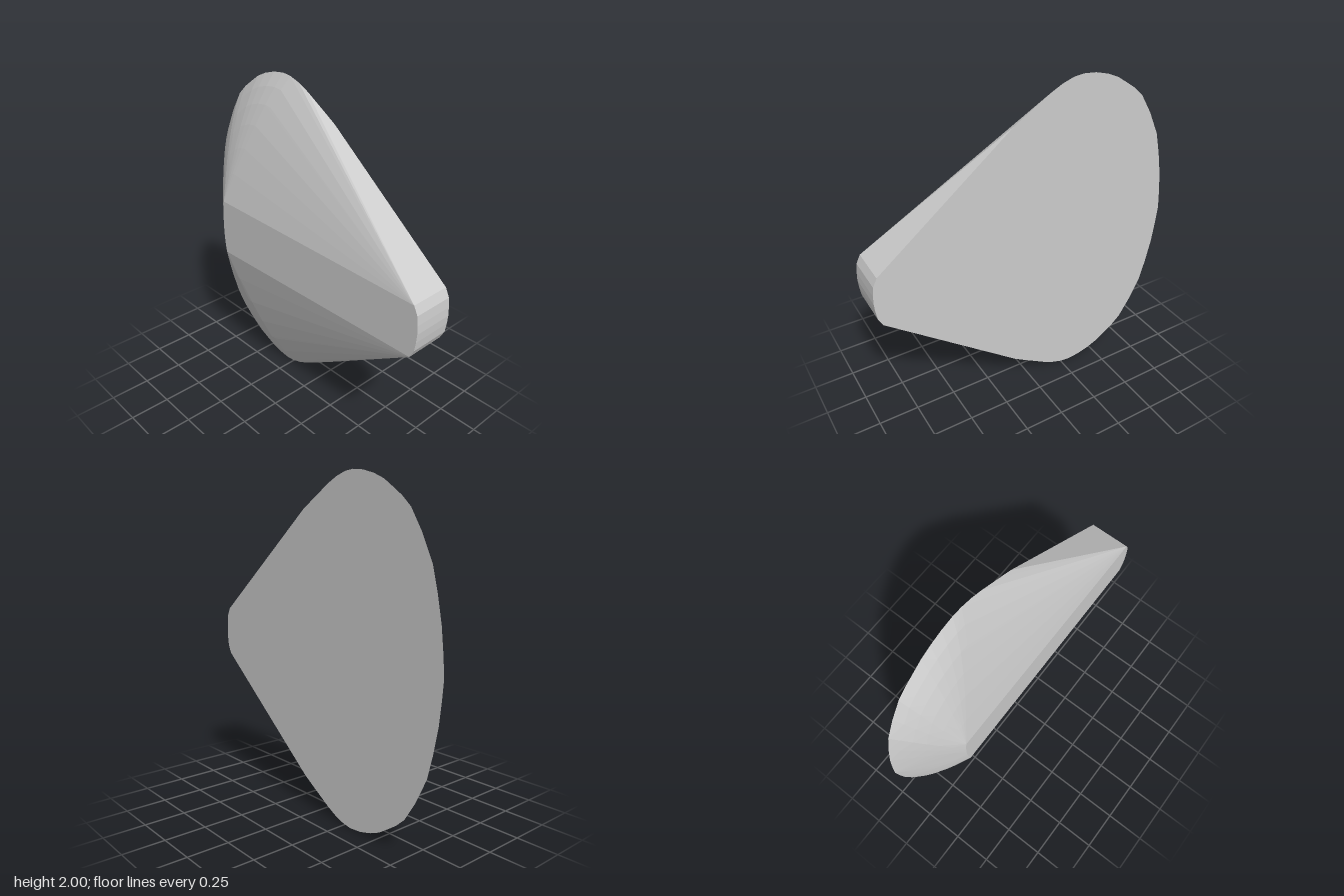
import * as THREE from 'three';
import { ConvexGeometry } from 'three/addons/geometries/ConvexGeometry.js';

const HALF_WIDTH = 0.124;
const BACK_Z = -0.63; // where the rear rim narrows to on the small face

// Upper half of the broad rim, as [z, height above the middle]
const RIM = [
  [0.11, 0.8], [0.03, 0.85], [-0.04, 0.89], [-0.11, 0.935], [-0.18, 0.97], [-0.25, 0.993],
  [-0.31, 1], [-0.39, 0.992], [-0.47, 0.97], [-0.54, 0.94], [-0.6, 0.9], [-0.665, 0.855],
  [-0.725, 0.8], [-0.8, 0.68], [-0.87, 0.535], [-0.905, 0.4], [-0.935, 0.25], [-0.95, 0.12], [-0.96, 0],
];
// Upper half of the blunt nose
const NOSE = [[0.925, 0.155], [0.95, 0.105], [0.957, 0.05], [0.96, 0]];

export function createModel() {
  const group = new THREE.Group();
  const grey = new THREE.MeshStandardMaterial({ color: 0xcccccc });
  grey.name = 'light grey';

  const points = [];
  const addPair = (x, y, z) => {
    points.push(new THREE.Vector3(x, 1 + y, z));
    if (y > 0) points.push(new THREE.Vector3(x, 1 - y, z));
  };

  // Nose: straight across the full width
  for (const [z, y] of NOSE) {
    addPair(-HALF_WIDTH, y, z);
    addPair(HALF_WIDTH, y, z);
  }

  // Rear: sections swelling from the narrow face to the broad face
  const steps = 6;
  for (let i = 0; i <= steps; i++) {
    const t = i / steps;
    const swell = 1.5 * t - 0.5 * t * t;
    const x = THREE.MathUtils.lerp(-HALF_WIDTH, HALF_WIDTH, t);
    for (const [z, y] of RIM) {
      const startZ = BACK_Z + 0.015 * y * y;
      const k = THREE.MathUtils.lerp(t, swell, y);
      addPair(x, y * (0.18 + 0.82 * swell), THREE.MathUtils.lerp(startZ, z, k));
    }
  }

  const body = new THREE.Mesh(new ConvexGeometry(points), grey);
  body.name = 'wedgeBody';
  group.add(body);
  return group;
}
